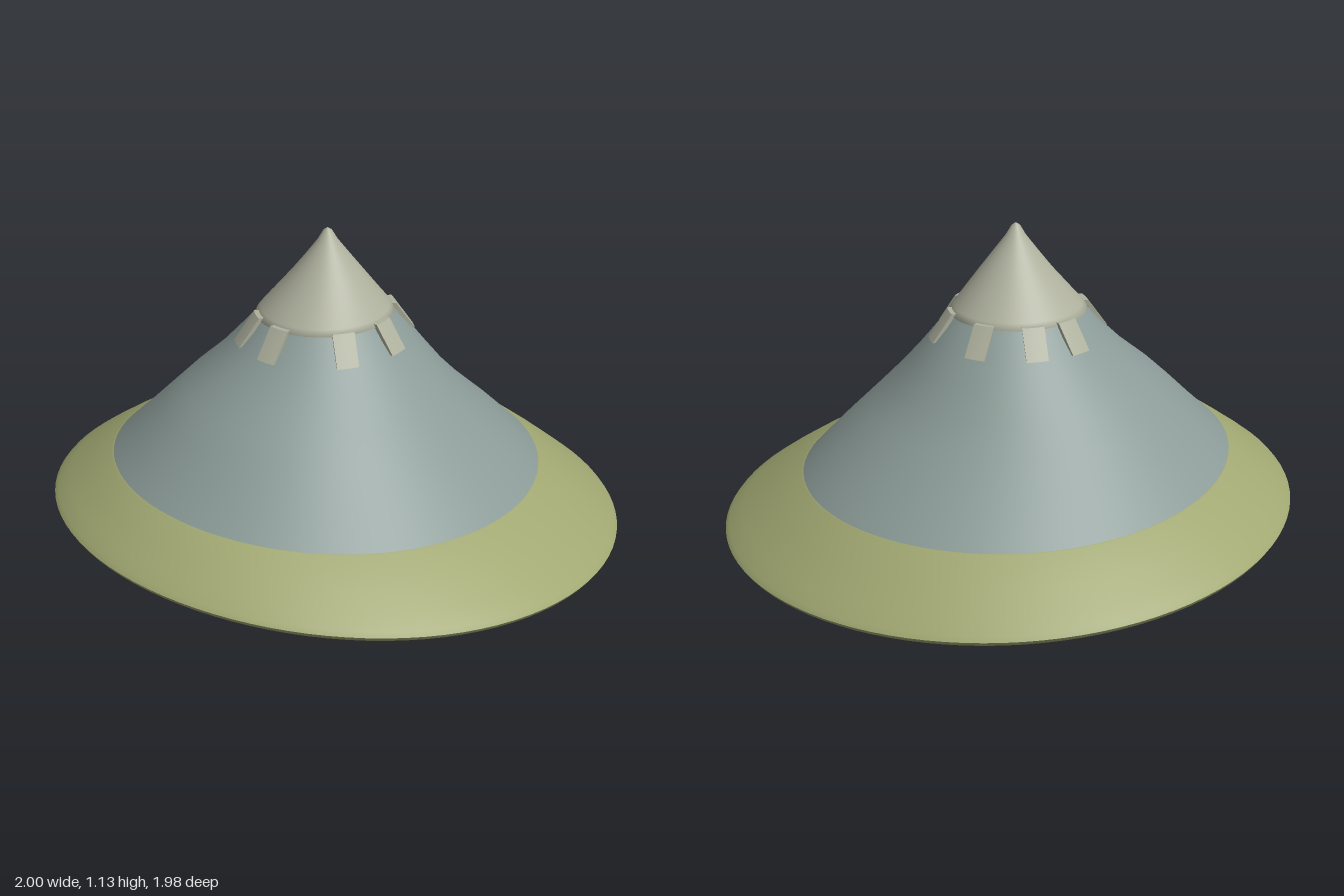
import * as THREE from 'three';

const mat = (name, color, side = THREE.FrontSide) => {
  const m = new THREE.MeshStandardMaterial({ color, side });
  m.name = name;
  return m;
};

// A ring: x radius, z radius, centre x, centre z, height, sideways tilt, bend, skew
const ring = (rx, rz, cx, cz, y, tilt = 0, bend = 0, skew = 0) => ({ rx, rz, cx, cz, y, tilt, bend, skew });

const grow = (r, d, dy = 0) => ({ ...r, rx: Math.max(0, r.rx + d), rz: Math.max(0, r.rz + d), y: r.y + dy });

function mix(a, b, t) {
  const out = {};
  for (const k in a) out[k] = a[k] + (b[k] - a[k]) * t;
  return out;
}

function pointOn(r, angle) {
  const c = Math.cos(angle), s = Math.sin(angle);
  const k = 1 + r.skew * Math.sin(2 * angle);
  return [r.cx + r.rx * k * c, r.y + r.tilt * c + r.bend * c * c, r.cz + r.rz * k * s];
}

// Skin a stack of rings; the outside faces away when the stack rises
function loft(rings, n = 96) {
  const pos = [], idx = [];
  for (const r of rings) for (let j = 0; j < n; j++) pos.push(...pointOn(r, (j / n) * Math.PI * 2));
  for (let i = 0; i < rings.length - 1; i++) {
    for (let j = 0; j < n; j++) {
      const k = (j + 1) % n;
      const a = i * n + j, b = a + n, c = i * n + k, d = c + n;
      idx.push(a, b, c, c, b, d);
    }
  }
  const g = new THREE.BufferGeometry();
  g.setAttribute('position', new THREE.Float32BufferAttribute(pos, 3));
  g.setIndex(idx);
  g.computeVertexNormals();
  return g;
}

export function createModel() {
  const hat = new THREE.Group();
  hat.name = 'conicalHat';
  const slate = mat('slate', 0x8b9b97);
  const olive = mat('olive', 0xa0a771);
  const stone = mat('stone', 0xafb19e);

  const add = (name, geometry, material) => {
    const mesh = new THREE.Mesh(geometry, material);
    mesh.name = name;
    hat.add(mesh);
  };

  // Outline of the cone from the brim seam to just under the tip cap
  const seam = ring(0.77, 0.737, -0.03, -0.017, 0.25, -0.042, 0.022);
  const collar = ring(0.235, 0.22, -0.035, -0.02, 0.82);
  const cone = [
    seam,
    ring(0.67, 0.635, -0.05, -0.012, 0.36, -0.02, 0.01),
    ring(0.555, 0.525, -0.07, -0.008, 0.48, -0.005),
    ring(0.475, 0.45, -0.07, -0.01, 0.56),
    ring(0.385, 0.36, -0.05, -0.015, 0.65),
    ring(0.305, 0.285, -0.037, -0.02, 0.74),
    collar,
  ];
  const tip = [
    ring(0.18, 0.172, -0.033, -0.015, 0.89),
    ring(0.13, 0.127, -0.03, -0.012, 0.96),
    ring(0.08, 0.078, -0.03, -0.01, 1.025),
    ring(0.035, 0.035, -0.03, -0.01, 1.085),
    ring(0.015, 0.015, -0.03, -0.01, 1.12),
    ring(0, 0, -0.03, -0.01, 1.13),
  ];
  add('cone', loft([...cone, tip[0]].map((r, i) => (i === 7 ? grow(r, -0.02) : r))), slate);

  // Brim, from the inner edge under the rolled lip and up to the seam
  const inner = grow(seam, -0.03, -0.01);
  const rim = ring(1, 0.988, 0, 0, 0.07, -0.075, 0.02, 0.02);
  const lip = ring(0.965, 0.953, 0, 0, 0.052, -0.072, 0.022, 0.02);
  add('brimUnderside', loft([
    inner,
    { ...mix(lip, inner, 0.6), y: 0.16 },
    { ...mix(lip, inner, 0.25), y: 0.086 },
    lip,
    { ...mix(lip, rim, 0.7), y: 0.054 },
    rim,
  ]), olive);
  add('brim', loft([
    rim,
    ring(0.988, 0.976, 0, 0, 0.086, -0.074, 0.02, 0.02),
    ring(0.945, 0.93, -0.003, -0.002, 0.122, -0.07, 0.02, 0.018),
    ring(0.865, 0.845, -0.014, -0.008, 0.185, -0.057, 0.021, 0.01),
    grow(seam, 0.004, 0.002),
    grow(seam, -0.012, 0.004),
  ]), olive);

  // Inside lining, running down from the peak to the brim
  const lining = [...cone, ...tip.slice(0, 4)].map((r) => grow(r, -0.03, -0.01)).reverse();
  add('lining', loft(lining), stone);

  // Tip cap with a small raised edge
  add('tipCap', loft([
    grow(collar, -0.005),
    grow(collar, 0.009),
    grow(mix(collar, tip[0], 0.3), 0.009),
    grow(tip[0], 0.007),
    ...tip.slice(1),
  ]), stone);

  // Square tabs hanging from the cap, wrapped onto the cone
  const tabBase = grow(cone[5], 0.007, -0.008);
  const tabTop = grow(collar, 0.007, 0.012);
  const tabAngles = [-104.5, -73.5, -33, 15, 62.5, 102, 156.5, 192];
  for (const degrees of tabAngles) {
    const g = new THREE.BoxGeometry(1, 1, 1, 4, 3, 1);
    const p = g.attributes.position;
    for (let i = 0; i < p.count; i++) {
      const r = mix(tabBase, tabTop, p.getY(i) + 0.5);
      const angle = THREE.MathUtils.degToRad(degrees) - (p.getX(i) * 0.076) / r.rx;
      p.setXYZ(i, ...pointOn(grow(r, p.getZ(i) * 0.018), angle));
    }
    g.computeVertexNormals();
    add('capTab', g, stone);
  }
  return hat;
}
